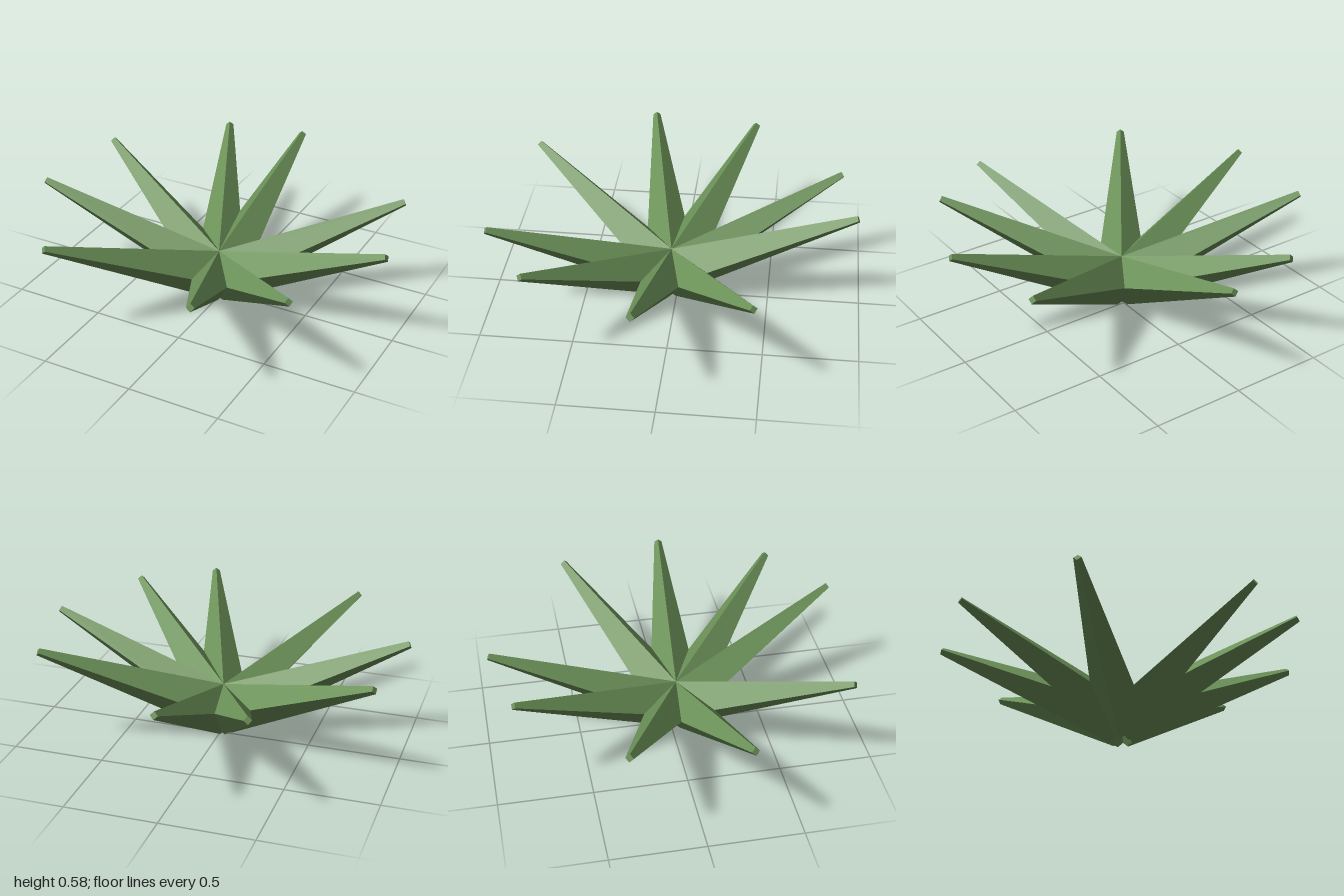
import * as THREE from 'three';

export function createModel() {
  const plant = new THREE.Group();
  plant.name = 'succulent';

  const leafGreen = new THREE.MeshStandardMaterial({ color: 0x6b9158, flatShading: true });
  leafGreen.name = 'leaf green';

  const baseRadius = 0.143, tipRadius = 0.021;
  const reach = 0.99, baseY = 0.131, tipY = 0.564;
  const rise = tipY - baseY;

  // One four-sided tapered leaf, lying along +x and tilted upwards, ridge on top
  const length = Math.hypot(reach, rise);
  const leaf = new THREE.CylinderGeometry(tipRadius, baseRadius, length, 4, 1);
  leaf.translate(0, length / 2, 0);
  leaf.rotateZ(Math.atan2(rise, reach) - Math.PI / 2);

  // Unevenly spaced leaves around the centre, in degrees from +x towards +z
  const headings = [-88.3, -29.7, 4.9, 42.6, 69.7, 124.5, 168.6, 203.9, 245.7];
  headings.forEach((heading, i) => {
    const mesh = new THREE.Mesh(leaf, leafGreen);
    mesh.name = `leaf${i + 1}`;
    mesh.position.set(-0.008, baseY, 0.032);
    mesh.rotation.y = -THREE.MathUtils.degToRad(heading);
    plant.add(mesh);
  });

  return plant;
}
